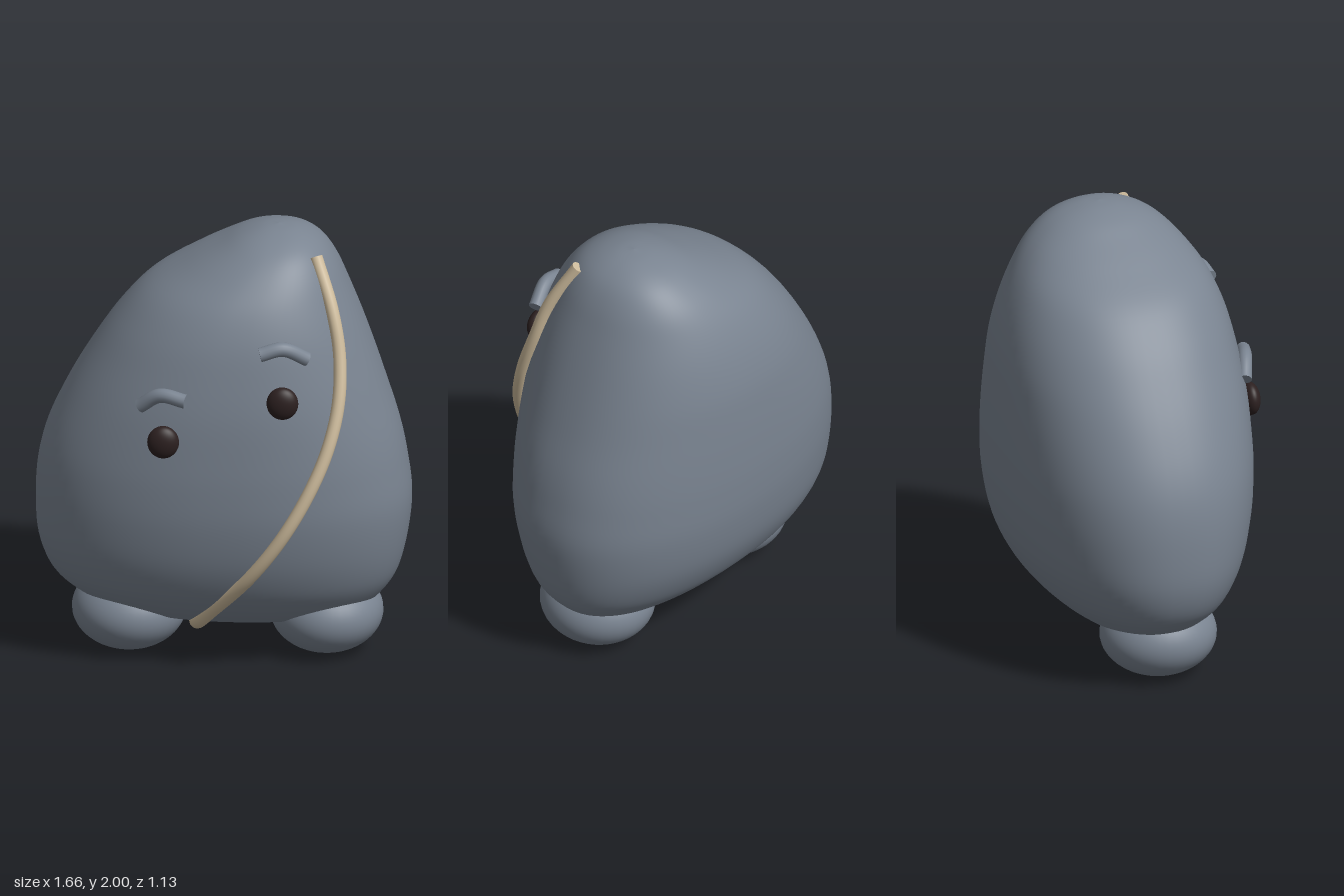
import * as THREE from 'three';

const slate = new THREE.MeshStandardMaterial({ color: 0x7a8491 });
slate.name = 'slate';
const tan = new THREE.MeshStandardMaterial({ color: 0xcdbb9c });
tan.name = 'tan';
const dark = new THREE.MeshStandardMaterial({ color: 0x2c2020 });
dark.name = 'dark brown';

// Body levels: y, right x, left x, back z, front z
const LEVELS = [
  [0.16, 0.08, 0.08, 0, 0],
  [0.165, -0.15, 0.32, -0.12, 0.12],
  [0.185, -0.37, 0.51, -0.2, 0.2],
  [0.22, -0.53, 0.62, -0.265, 0.255],
  [0.29, -0.655, 0.7, -0.35, 0.335],
  [0.39, -0.76, 0.765, -0.435, 0.41],
  [0.54, -0.818, 0.806, -0.508, 0.475],
  [0.73, -0.83, 0.827, -0.547, 0.518],
  [0.91, -0.815, 0.807, -0.56, 0.534],
  [1.07, -0.77, 0.774, -0.56, 0.536],
  [1.25, -0.685, 0.718, -0.552, 0.53],
  [1.42, -0.585, 0.662, -0.535, 0.508],
  [1.58, -0.475, 0.605, -0.495, 0.475],
  [1.72, -0.345, 0.55, -0.435, 0.42],
  [1.83, -0.17, 0.502, -0.36, 0.345],
  [1.91, -0.025, 0.45, -0.275, 0.265],
  [1.96, 0.07, 0.39, -0.19, 0.18],
  [1.99, 0.16, 0.32, -0.09, 0.085],
  [2.0, 0.24, 0.24, 0, 0],
];

// Rounded cross-sections lofted between the side outlines
function bodyGeometry(rings = 90, sides = 72) {
  const curve = (x, z) => new THREE.CatmullRomCurve3(
    LEVELS.map((l) => new THREE.Vector3(l[x], l[0], l[z])), false, 'catmullrom', 0.5);
  const low = curve(1, 3);
  const high = curve(2, 4);
  const round = (v) => Math.sign(v) * Math.pow(Math.abs(v), 2 / 2.2);
  const positions = [];
  const index = [];
  for (let i = 0; i <= rings; i++) {
    const a = low.getPoint(i / rings);
    const b = high.getPoint(i / rings);
    for (let j = 0; j < sides; j++) {
      const t = (j / sides) * Math.PI * 2;
      const s = round(Math.sin(t));
      positions.push(
        (a.x + b.x) / 2 + ((b.x - a.x) / 2) * round(Math.cos(t)),
        a.y,
        s > 0 ? s * b.z : -s * a.z,
      );
      if (i === rings) continue;
      const p = i * sides + j;
      const q = i * sides + ((j + 1) % sides);
      index.push(p, p + sides, q, q, p + sides, q + sides);
    }
  }
  const geometry = new THREE.BufferGeometry();
  geometry.setAttribute('position', new THREE.Float32BufferAttribute(positions, 3));
  geometry.setIndex(index);
  geometry.computeVertexNormals();
  return geometry;
}

function addMesh(parent, name, geometry, material) {
  const mesh = new THREE.Mesh(geometry, material);
  mesh.name = name;
  parent.add(mesh);
  return mesh;
}

function addEllipsoid(parent, name, material, center, radii) {
  const mesh = addMesh(parent, name, new THREE.SphereGeometry(1, 40, 28), material);
  mesh.position.set(...center);
  mesh.scale.set(...radii);
  return mesh;
}

// Tube with flat ends
function addRod(parent, name, material, points, radius, segments) {
  const rod = new THREE.Group();
  rod.name = name;
  parent.add(rod);
  const curve = new THREE.CatmullRomCurve3(points.map((p) => new THREE.Vector3(...p)));
  addMesh(rod, name + 'Tube', new THREE.TubeGeometry(curve, segments, radius, 16), material);
  for (const [t, sign] of [[0, -1], [1, 1]]) {
    const cap = addMesh(rod, name + 'End', new THREE.CircleGeometry(radius, 16), material);
    cap.position.copy(curve.getPoint(t));
    cap.lookAt(cap.position.clone().addScaledVector(curve.getTangent(t), sign));
  }
}

export function createModel() {
  const model = new THREE.Group();
  model.name = 'roundCreature';

  addMesh(model, 'body', bodyGeometry(), slate);

  // Feet
  addEllipsoid(model, 'rightFoot', slate, [-0.418, 0.19, 0.025], [0.252, 0.185, 0.26]);
  addEllipsoid(model, 'leftFoot', slate, [0.452, 0.19, 0.025], [0.25, 0.185, 0.26]);

  // Eyes
  addEllipsoid(model, 'rightEye', dark, [-0.245, 1.16, 0.525], [0.07, 0.075, 0.042]);
  addEllipsoid(model, 'leftEye', dark, [0.28, 1.35, 0.52], [0.07, 0.075, 0.042]);

  // Eyebrows
  addRod(model, 'rightEyebrow', slate,
    [[-0.35, 1.305, 0.46], [-0.26, 1.368, 0.495], [-0.145, 1.355, 0.53]], 0.032, 20);
  addRod(model, 'leftEyebrow', slate,
    [[0.18, 1.57, 0.5], [0.28, 1.592, 0.485], [0.385, 1.535, 0.45]], 0.032, 20);

  // Strap running across the front and under the belly
  addRod(model, 'strap', tan, [
    [0.412, 1.91, 0.175], [0.487, 1.7, 0.275], [0.523, 1.5, 0.335], [0.52, 1.3, 0.405],
    [0.472, 1.1, 0.47], [0.385, 0.9, 0.515], [0.27, 0.7, 0.525], [0.13, 0.5, 0.475],
    [-0.03, 0.3, 0.34], [-0.105, 0.2, 0.24], [-0.125, 0.17, 0.1],
  ], 0.029, 90);

  return model;
}
